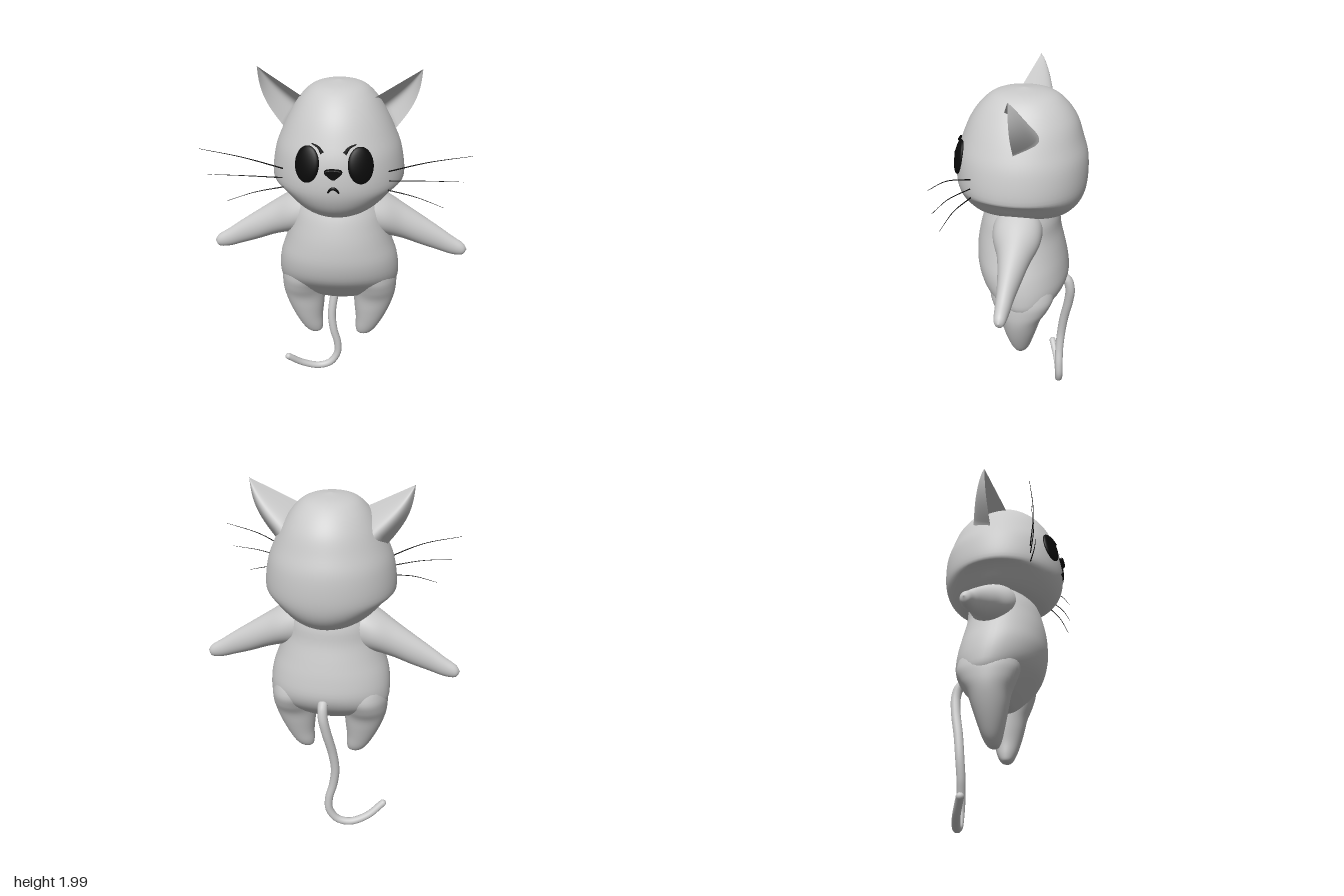
import * as THREE from 'three';
import { mergeVertices } from 'three/addons/utils/BufferGeometryUtils.js';
import { ParametricGeometry } from 'three/addons/geometries/ParametricGeometry.js';

const V = (x, y, z) => new THREE.Vector3(x, y, z);
const grey = new THREE.MeshStandardMaterial({ color: 0xcccccc });
const greyThin = new THREE.MeshStandardMaterial({ color: 0xcccccc, side: THREE.DoubleSide });
const black = new THREE.MeshStandardMaterial({ color: 0x0a0a0a });

function part(name, geometry, material = grey) {
  const mesh = new THREE.Mesh(geometry, material);
  mesh.name = name;
  return mesh;
}

// Smooth closed skin over elliptic sections [t, centreA, radiusA, centreZ, radiusZ].
// Along 'y' A is x; along 'x' A is y. t must increase.
function loft(sections, axis = 'y', warp = null, rows = 48, sides = 48) {
  const ca = new THREE.CatmullRomCurve3(sections.map(s => V(s[0], s[1], s[2])), false, 'catmullrom');
  const cz = new THREE.CatmullRomCurve3(sections.map(s => V(s[3], s[4], 0)), false, 'catmullrom');
  const pos = [], index = [];
  for (let i = 0; i <= rows; i++) {
    // rows are packed closer towards both ends
    const u = i / rows, k = 0.5 - 0.5 * Math.cos(Math.PI * u);
    const a = ca.getPoint(0.5 * (u + k)), z = cz.getPoint(0.5 * (u + k));
    for (let j = 0; j < sides; j++) {
      const th = (j / sides) * Math.PI * 2;
      const pa = a.y + Math.max(0, a.z) * Math.cos(th);
      const pz = Math.max(0, z.y) * Math.sin(th);
      const p = axis === 'y' ? V(pa, a.x, z.x + pz) : V(a.x, pa, z.x - pz);
      if (warp) warp(p);
      pos.push(p.x, p.y, p.z);
      if (i < rows) {
        const n = (j + 1) % sides, r = i * sides, q = r + sides;
        index.push(r + j, q + j, r + n, r + n, q + j, q + n);
      }
    }
  }
  let geo = new THREE.BufferGeometry();
  geo.setAttribute('position', new THREE.Float32BufferAttribute(pos, 3));
  geo.setIndex(index);
  geo = mergeVertices(geo, 1e-5);
  geo.computeVertexNormals();
  return geo;
}

// Tube through points, with its radius scaled along the length
function taperTube(points, radius, taper, segments = 24, sides = 8) {
  const curve = new THREE.CatmullRomCurve3(points.map(p => V(...p)));
  const geo = new THREE.TubeGeometry(curve, segments, radius, sides);
  const pos = geo.attributes.position, p = V(0, 0, 0);
  for (let i = 0; i < pos.count; i++) {
    const t = Math.floor(i / (sides + 1)) / segments;
    const c = curve.getPointAt(t);
    p.fromBufferAttribute(pos, i).sub(c).multiplyScalar(taper(t)).add(c);
    pos.setXYZ(i, p.x, p.y, p.z);
  }
  return geo;
}

// Half-cone shell, open to the front
function earGeometry() {
  const inner = V(0.185, 1.87, 0.045), outer = V(0.29, 1.69, -0.02), tip = V(0.42, 2.0, -0.025);
  return new ParametricGeometry((u, v, out) => {
    const t = v * 1.15 - 0.15;
    out.copy(inner).lerp(outer, u).lerp(tip, t);
    out.z -= 0.145 * Math.sin(Math.PI * u) * Math.pow(1 - t, 0.8);
    out.x += 0.035 * u * Math.sin(Math.PI * Math.max(0, t));
  }, 24, 16);
}

// Everything that exists once per side, modelled on +x
function buildSide(name) {
  const side = new THREE.Group();
  side.name = name;

  side.add(part('ear', earGeometry(), greyThin));

  side.add(part('arm', loft([
    [0.08, 1.2, 0.12, -0.02, 0.11], [0.16, 1.235, 0.135, -0.02, 0.13],
    [0.25, 1.215, 0.118, -0.025, 0.125], [0.35, 1.17, 0.1, -0.033, 0.088],
    [0.45, 1.118, 0.086, -0.035, 0.064], [0.55, 1.068, 0.069, -0.035, 0.046],
    [0.63, 1.027, 0.053, -0.035, 0.037], [0.69, 1.006, 0.034, -0.035, 0.027],
    [0.714, 1.005, 0, -0.035, 0]], 'x')));

  side.add(part('leg', loft([
    [0.42, 0.145, 0, -0.03, 0], [0.432, 0.145, 0.037, -0.03, 0.028],
    [0.47, 0.158, 0.06, -0.032, 0.05], [0.54, 0.178, 0.08, -0.033, 0.072],
    [0.62, 0.192, 0.102, -0.036, 0.094], [0.7, 0.202, 0.118, -0.04, 0.115],
    [0.77, 0.205, 0.124, -0.045, 0.15], [0.85, 0.195, 0.13, -0.045, 0.175],
    [0.95, 0.17, 0.12, -0.03, 0.15], [1.02, 0.15, 0, -0.03, 0]])));

  const eye = part('eye', new THREE.SphereGeometry(1, 32, 20), black);
  eye.scale.set(0.067, 0.092, 0.022);
  eye.position.set(0.132, 1.6, 0.296);
  eye.rotation.set(-0.2, 0.42, 0, 'YXZ');
  side.add(eye);

  side.add(part('brow', taperTube(
    [[0.054, 1.662, 0.313], [0.075, 1.688, 0.299], [0.108, 1.702, 0.282]],
    0.01, t => 1 - 0.75 * t), black));

  const whiskers = [
    [[0.255, 1.535, 0.2], [0.46, 1.614, 0.262], [0.667, 1.66, 0.285]],
    [[0.255, 1.488, 0.2], [0.46, 1.517, 0.262], [0.635, 1.527, 0.285]],
    [[0.255, 1.441, 0.2], [0.41, 1.426, 0.255], [0.545, 1.387, 0.285]]];
  for (const path of whiskers)
    side.add(part('whisker', taperTube(path, 0.0035, t => 1 - 0.75 * t, 16, 6), black));
  return side;
}

export function createModel() {
  const model = new THREE.Group();
  model.name = 'cat';

  // Head: rounded dome, underside curving up towards the cheeks
  model.add(part('head', loft([
    [1.27, 0, 0, -0.01, 0], [1.271, 0, 0.1, -0.01, 0.11], [1.28, 0, 0.215, -0.01, 0.215],
    [1.315, 0, 0.28, -0.01, 0.275], [1.38, 0, 0.325, -0.01, 0.322], [1.47, 0, 0.347, -0.008, 0.344],
    [1.6, 0, 0.33, -0.01, 0.339], [1.7, 0, 0.292, -0.012, 0.31], [1.8, 0, 0.24, -0.018, 0.27],
    [1.88, 0, 0.182, -0.02, 0.208], [1.925, 0, 0.117, -0.02, 0.135], [1.945, 0, 0, -0.02, 0]],
  'y', p => {
    p.y += 0.9 * p.x * p.x * (1 - THREE.MathUtils.smoothstep(p.y, 1.3, 1.47));
  }, 64, 64)));

  // Torso
  model.add(part('torso', loft([
    [0.688, 0, 0, -0.05, 0], [0.695, 0, 0.12, -0.05, 0.07], [0.73, 0, 0.25, -0.05, 0.115],
    [0.8, 0, 0.325, -0.05, 0.185], [0.88, 0, 0.337, -0.034, 0.235], [0.98, 0, 0.325, -0.015, 0.247],
    [1.08, 0, 0.292, -0.004, 0.238], [1.18, 0, 0.262, 0, 0.219], [1.28, 0, 0.24, -0.01, 0.198],
    [1.36, 0, 0.19, -0.015, 0.15], [1.42, 0, 0, -0.015, 0]])));

  // Mirrored halves
  const left = buildSide('leftSide');
  const right = buildSide('rightSide');
  right.scale.x = -1;
  model.add(left, right);

  // Nose: rounded triangle pointing down
  const tri = new THREE.Shape();
  tri.moveTo(-0.03, 1.583);
  tri.quadraticCurveTo(0, 1.588, 0.03, 1.583);
  tri.quadraticCurveTo(0.046, 1.578, 0.034, 1.567);
  tri.lineTo(0.01, 1.546);
  tri.quadraticCurveTo(0, 1.538, -0.01, 1.546);
  tri.lineTo(-0.034, 1.567);
  tri.quadraticCurveTo(-0.046, 1.578, -0.03, 1.583);
  const noseGeo = new THREE.ExtrudeGeometry(tri, {
    depth: 0.025, bevelThickness: 0.008, bevelSize: 0.005, bevelSegments: 3, curveSegments: 8 });
  noseGeo.translate(0, 0, 0.318);
  model.add(part('nose', noseGeo, black));

  // Mouth: small downturned arch
  model.add(part('mouth', taperTube(
    [[-0.028, 1.468, 0.336], [-0.014, 1.486, 0.339], [0, 1.492, 0.34], [0.014, 1.486, 0.339], [0.028, 1.468, 0.336]],
    0.008, t => 0.5 + 0.5 * Math.sin(Math.PI * t)), black));

  // Tail: hangs from the back and curls sideways at the bottom
  const tailPath = [[0, 0.86, -0.235], [0, 0.84, -0.268], [-0.004, 0.78, -0.285], [-0.022, 0.68, -0.277],
    [-0.05, 0.54, -0.25], [-0.064, 0.41, -0.234], [-0.052, 0.3, -0.228], [-0.028, 0.2, -0.232],
    [-0.03, 0.12, -0.234], [-0.075, 0.05, -0.226], [-0.15, 0.029, -0.214], [-0.25, 0.065, -0.185],
    [-0.335, 0.137, -0.143]];
  const tailTaper = t => 1 - 0.28 * t;
  model.add(part('tail', taperTube(tailPath, 0.028, tailTaper, 80, 16)));
  for (const [i, r] of [[0, 0.028], [tailPath.length - 1, 0.028 * tailTaper(1)]]) {
    const cap = part('tailEnd', new THREE.SphereGeometry(r, 16, 12));
    cap.position.set(...tailPath[i]);
    model.add(cap);
  }
  return model;
}
